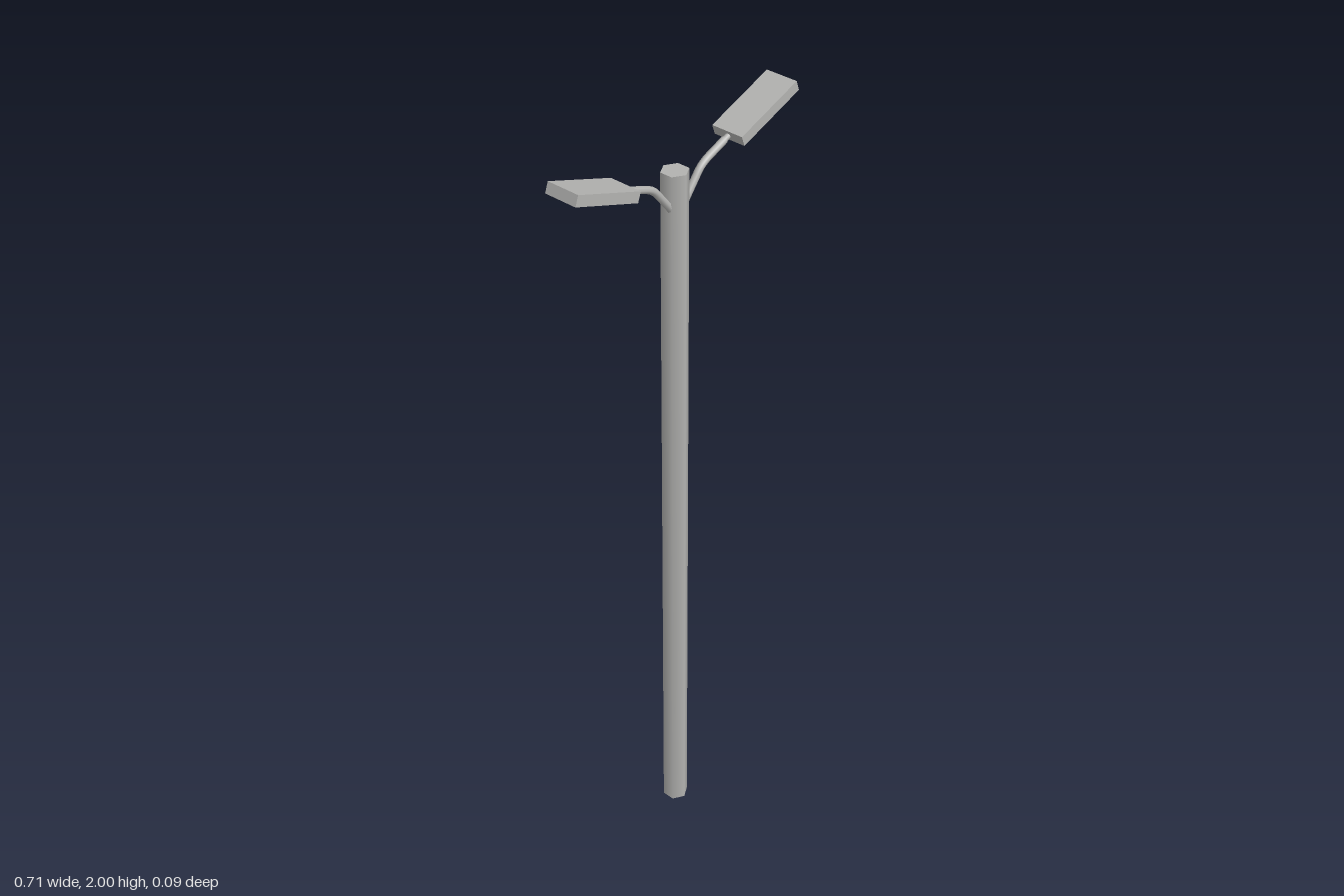
import * as THREE from 'three';

const metal = new THREE.MeshStandardMaterial({ color: 0xb2b2b0 });
metal.name = 'grey metal';
const glow = new THREE.MeshStandardMaterial({ color: 0xf2ea8c });
glow.name = 'lamp yellow';

function add(parent, name, geometry, material) {
  const mesh = new THREE.Mesh(geometry, material);
  mesh.name = name;
  parent.add(mesh);
  return mesh;
}

function rect(w, h, Type) {
  return new Type([[-w, -h], [w, -h], [w, h], [-w, h]].map(([x, y]) => new THREE.Vector2(x / 2, y / 2)));
}

// Lamp head: a shallow tray, open below, with the light panel inside
function createLampHead() {
  const head = new THREE.Group();
  const length = 0.195, width = 0.086, height = 0.026, recess = 0.007, rim = 0.013;

  const top = add(head, 'lampHousing', new THREE.BoxGeometry(length, height - recess, width), metal);
  top.position.y = recess / 2;

  const frame = rect(length, width, THREE.Shape);
  frame.holes.push(rect(length - 2 * rim, width - 2 * rim, THREE.Path));
  const frameGeometry = new THREE.ExtrudeGeometry(frame, { depth: recess, bevelEnabled: false });
  frameGeometry.rotateX(Math.PI / 2);
  add(head, 'lampFrame', frameGeometry, metal).position.y = -height / 2 + recess;

  const panel = add(head, 'lightPanel',
    new THREE.BoxGeometry(length - 2 * rim, 0.003, width - 2 * rim), glow);
  panel.position.y = -height / 2 + recess - 0.001;
  return head;
}

// One bent arm with its lamp, pointing to +x
function createBranch() {
  const branch = new THREE.Group();
  const [root, bendStart, corner, bendEnd, tip] = [
    [0.01, 1.802], [0.066, 1.872], [0.078, 1.887], [0.1, 1.896], [0.152, 1.916],
  ].map(([x, y]) => new THREE.Vector3(x, y, 0));
  const path = new THREE.CurvePath();
  path.add(new THREE.LineCurve3(root, bendStart));
  path.add(new THREE.QuadraticBezierCurve3(bendStart, corner, bendEnd));
  path.add(new THREE.LineCurve3(bendEnd, tip));
  add(branch, 'arm', new THREE.TubeGeometry(path, 20, 0.009, 8), metal);

  const tilt = THREE.MathUtils.degToRad(20);
  const cap = add(branch, 'armEnd', new THREE.CylinderGeometry(0.009, 0.009, 0.002, 8), metal);
  cap.position.copy(tip);
  cap.rotation.z = tilt - Math.PI / 2;

  const joint = add(branch, 'lampJoint', new THREE.CylinderGeometry(0.007, 0.007, 0.03, 8), metal);
  joint.position.set(0.16, 1.919, 0);
  joint.rotation.z = tilt - Math.PI / 2;

  const head = createLampHead();
  head.name = 'lampHead';
  head.position.set(0.257, 1.955, 0);
  head.rotation.z = tilt;
  branch.add(head);
  return branch;
}

export function createModel() {
  const model = new THREE.Group();
  model.name = 'streetLamp';

  // Six-sided pole
  const pole = add(model, 'pole', new THREE.CylinderGeometry(0.033, 0.033, 1.9, 6), metal);
  pole.position.set(0, 0.95, -0.008);

  // Two matching branches
  ['leftBranch', 'rightBranch'].forEach((name, i) => {
    const branch = createBranch();
    branch.name = name;
    branch.rotation.y = i * Math.PI;
    model.add(branch);
  });
  return model;
}
